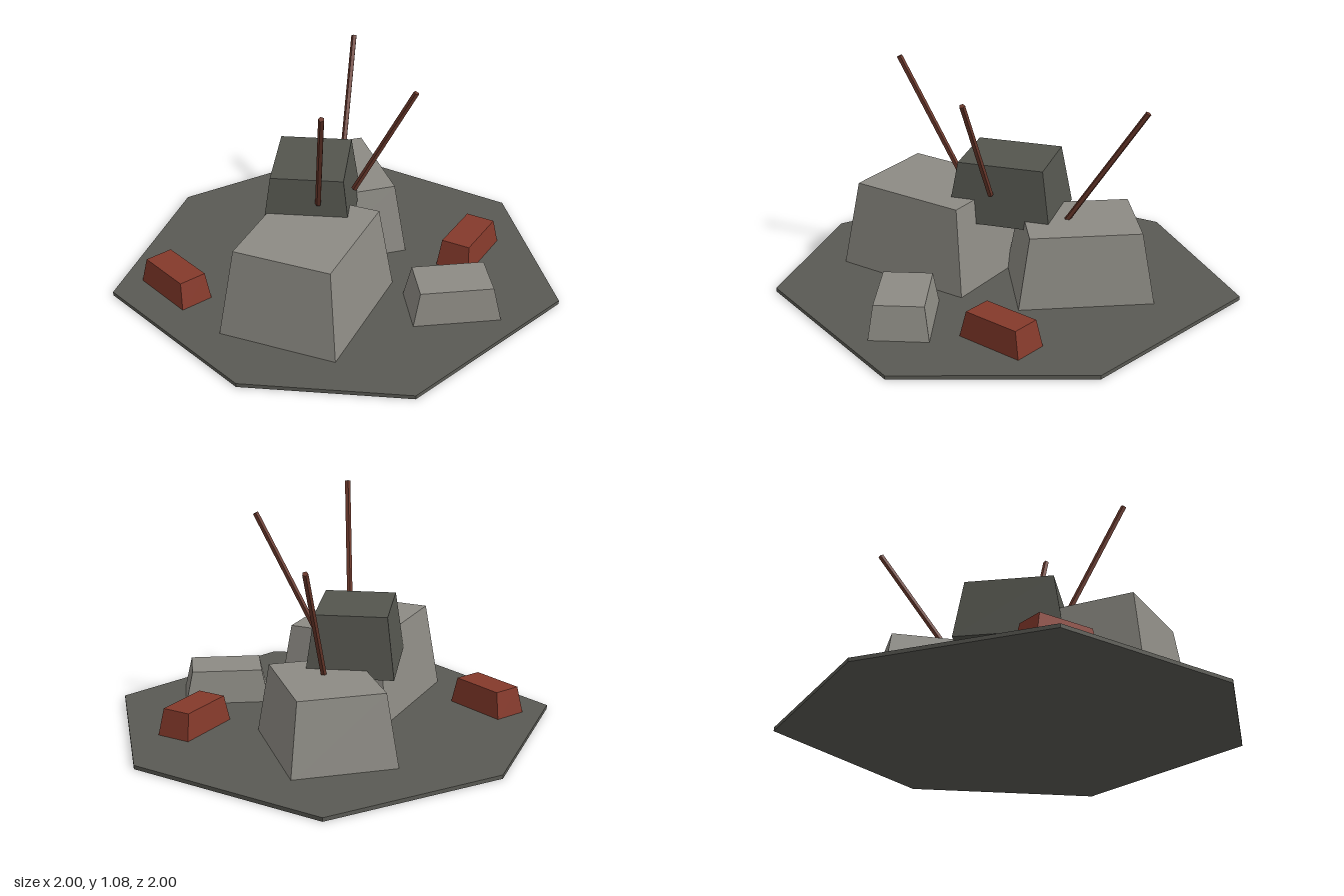
import * as THREE from 'three';

const material = (name, color) => {
  const m = new THREE.MeshStandardMaterial({ color });
  m.name = name;
  return m;
};

export function createModel() {
  const group = new THREE.Group();
  const ground = material('ground grey', 0x5a5a54);
  const concrete = material('light concrete', 0x8d8b84);
  const darkConcrete = material('dark concrete', 0x54554e);
  const brick = material('red brick', 0x84392b);
  const rust = material('rusty steel', 0x6a382b);

  const add = (name, geometry, mat) => {
    const mesh = new THREE.Mesh(geometry, mat);
    mesh.name = name;
    group.add(mesh);
    return mesh;
  };

  // Thin seven-sided ground slab
  const outline = [[0, -1], [0.855, -0.715], [1, 0.28], [0.43, 0.995],
    [-0.57, 0.925], [-1, 0.28], [-0.855, -0.645]];
  const shape = new THREE.Shape(outline.map(([x, z]) => new THREE.Vector2(x, -z)));
  const slab = new THREE.ExtrudeGeometry(shape, { depth: 0.018, bevelEnabled: false });
  add('groundSlab', slab.rotateX(-Math.PI / 2), ground);

  // Rubble chunk: a box whose top face is drawn in
  const chunk = (name, mat, [w, d], [bottom, top], [x, z], turn) => {
    const geometry = new THREE.BoxGeometry(w, top - bottom, d);
    const p = geometry.attributes.position;
    for (let i = 0; i < p.count; i++) {
      if (p.getY(i) > 0) {
        p.setX(i, p.getX(i) * 0.82);
        p.setZ(i, p.getZ(i) * 0.82);
      }
    }
    geometry.computeVertexNormals();
    const mesh = add(name, geometry, mat);
    mesh.position.set(x, (bottom + top) / 2, z);
    mesh.rotation.y = turn;
  };
  chunk('largeChunk', concrete, [0.70, 0.57], [0.002, 0.43], [-0.36, 0.137], 0.30);
  chunk('rearChunk', concrete, [0.495, 0.635], [0.002, 0.355], [0.283, -0.22], -0.57);
  chunk('topChunk', darkConcrete, [0.50, 0.41], [0.315, 0.60], [-0.07, -0.087], 0.60);
  chunk('smallChunk', concrete, [0.413, 0.279], [0.002, 0.175], [0.07, 0.64], -0.74);
  chunk('frontBrick', brick, [0.347, 0.172], [0.002, 0.143], [0.497, 0.421], 0.19);
  chunk('rearBrick', brick, [0.335, 0.167], [0.002, 0.143], [-0.643, -0.436], 1.4);

  // Bent-out reinforcing rods standing in the rubble
  const up = new THREE.Vector3(0, 1, 0);
  const rod = (name, from, to) => {
    const a = new THREE.Vector3(...from);
    const b = new THREE.Vector3(...to);
    const direction = b.clone().sub(a);
    const geometry = new THREE.CylinderGeometry(0.014, 0.014, direction.length(), 5).toNonIndexed();
    geometry.computeVertexNormals();
    const mesh = add(name, geometry, rust);
    mesh.position.copy(a).add(b).multiplyScalar(0.5);
    mesh.quaternion.setFromUnitVectors(up, direction.normalize());
  };
  rod('leftRod', [-0.225, 0.49, 0.085], [-0.43, 1.07, 0.283]);
  rod('middleRod', [0.015, 0.47, 0.10], [0.14, 1.0, 0.353]);
  rod('rightRod', [0.235, 0.33, -0.165], [0.57, 0.925, -0.36]);

  return group;
}
